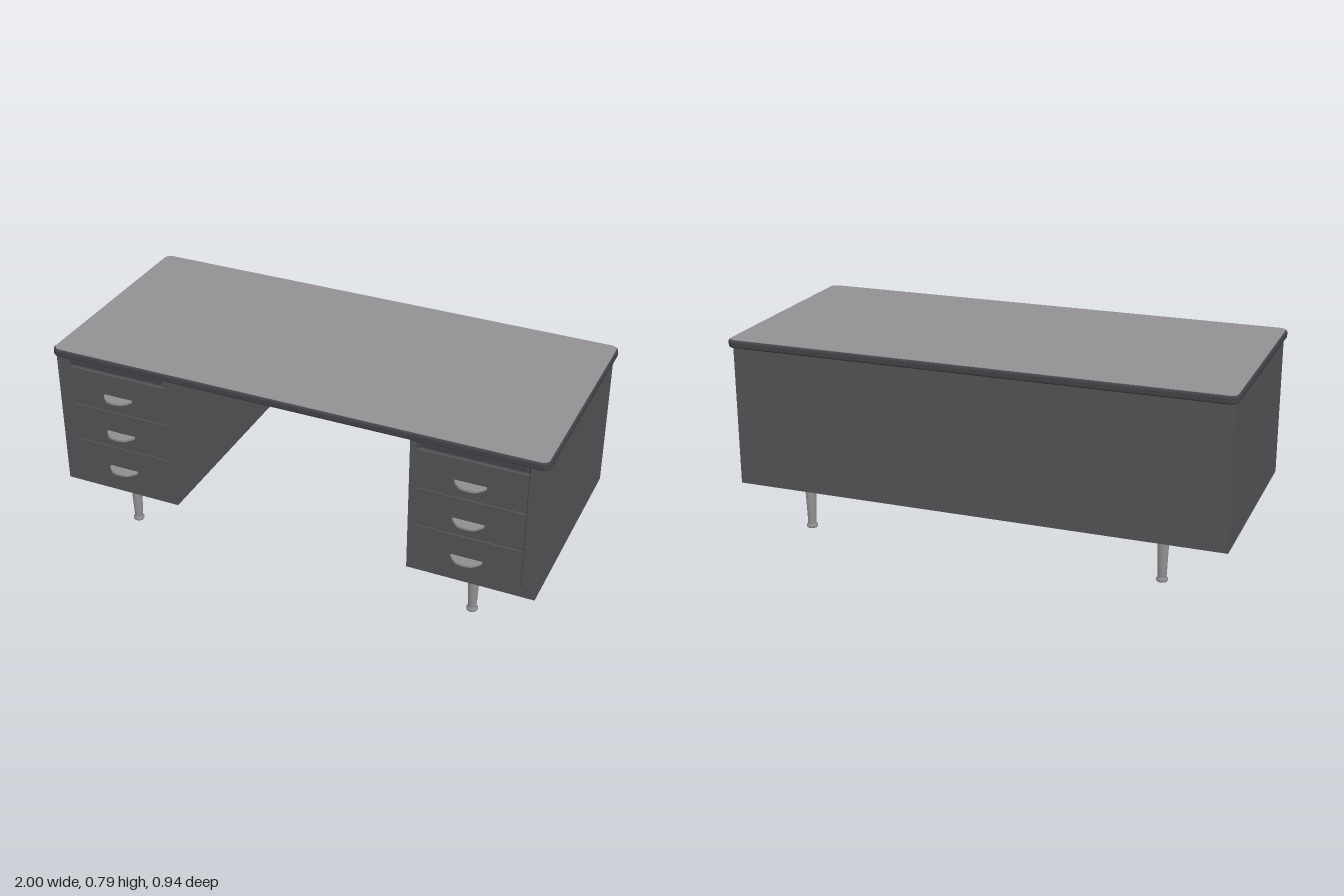
import * as THREE from 'three';

const mat = (name, color) => Object.assign(new THREE.MeshStandardMaterial({ color }), { name });

export function createModel() {
  const bodyPaint = mat('body grey', 0x535256);
  const edgeTrim = mat('dark trim', 0x434246);
  const topGrey = mat('top grey', 0x929093);
  const gapDark = mat('gap shadow', 0x2c2c2e);
  const metal = mat('brushed metal', 0x8e8e8e);
  const desk = new THREE.Group();
  desk.name = 'desk';

  const add = (parent, name, geo, material, x = 0, y = 0, z = 0) => {
    const m = new THREE.Mesh(geo, material);
    m.name = name;
    m.position.set(x, y, z);
    parent.add(m);
    return m;
  };
  // box given by its minimum and maximum corners
  const box = (parent, name, material, x0, x1, y0, y1, z0, z1) =>
    add(parent, name, new THREE.BoxGeometry(x1 - x0, y1 - y0, z1 - z0), material,
      (x0 + x1) / 2, (y0 + y1) / 2, (z0 + z1) / 2);

  // rounded rectangle on the ground plane
  const roundedRect = (w, d, r) => {
    const s = new THREE.Shape(), a = w / 2, b = d / 2;
    s.moveTo(-a + r, -b);
    s.lineTo(a - r, -b).absarc(a - r, -b + r, r, -Math.PI / 2, 0);
    s.lineTo(a, b - r).absarc(a - r, b - r, r, 0, Math.PI / 2);
    s.lineTo(-a + r, b).absarc(-a + r, b - r, r, Math.PI / 2, Math.PI);
    s.lineTo(-a, -b + r).absarc(-a + r, -b + r, r, Math.PI, Math.PI * 1.5);
    return s;
  };
  const slab = (w, d, r, h, bevel) => new THREE.ExtrudeGeometry(roundedRect(w - 2 * bevel, d - 2 * bevel, r), {
    depth: h - 2 * bevel, bevelEnabled: bevel > 0, bevelSize: bevel, bevelThickness: bevel,
    bevelSegments: 4, curveSegments: 6,
  }).translate(0, 0, bevel).rotateX(-Math.PI / 2);

  // worktop with a soft dark edge and a lighter surface
  const topZ = -0.0125;
  add(desk, 'worktopEdge', slab(2, 0.913, 0.025, 0.032, 0.009), edgeTrim, 0, 0.754, topZ);
  add(desk, 'worktopSurface', slab(1.986, 0.899, 0.027, 0.003, 0), topGrey, 0, 0.7845, topZ);

  // back panel across the kneehole
  box(desk, 'backPanel', bodyPaint, -0.486, 0.486, 0.187, 0.756, -0.438, -0.42);

  // front frame around the drawer opening
  const frame = new THREE.Shape();
  frame.moveTo(0.485, 0.187);
  frame.lineTo(0.985, 0.187).lineTo(0.985, 0.756).lineTo(0.485, 0.756).closePath();
  const opening = new THREE.Path();
  opening.moveTo(0.508, 0.226);
  opening.lineTo(0.508, 0.752).lineTo(0.93, 0.752).lineTo(0.93, 0.226).closePath();
  frame.holes.push(opening);
  const frameGeo = new THREE.ExtrudeGeometry(frame, { depth: 0.012, bevelEnabled: false });

  // pull with a bowed front edge
  const pull = new THREE.Shape();
  pull.moveTo(-0.06, 0);
  pull.quadraticCurveTo(-0.055, 0.016, -0.03, 0.036);
  pull.quadraticCurveTo(0, 0.045, 0.03, 0.036);
  pull.quadraticCurveTo(0.055, 0.016, 0.06, 0);
  pull.closePath();
  const pullGeo = new THREE.ExtrudeGeometry(pull, {
    depth: 0.006, bevelEnabled: true, bevelSize: 0.002, bevelThickness: 0.003, bevelSegments: 2, curveSegments: 8,
  }).rotateX(Math.PI / 2);

  // tapered leg with a flared foot
  const legGeo = new THREE.LatheGeometry([
    [0, 0], [0.018, 0], [0.022, 0.004], [0.022, 0.011], [0.018, 0.015],
    [0.0165, 0.02], [0.0225, 0.184], [0, 0.184],
  ].map(([r, y]) => new THREE.Vector2(r, y)), 20);

  for (const side of [1, -1]) {
    const ped = new THREE.Group();
    ped.name = side > 0 ? 'leftPedestal' : 'rightPedestal';
    desk.add(ped);
    const mid = side * 0.735, cx = side * 0.719;
    box(ped, 'cabinet', bodyPaint, mid - 0.25, mid + 0.25, 0.187, 0.756, -0.438, 0.415);
    add(ped, 'frontFrame', frameGeo, bodyPaint, side > 0 ? 0 : -1.47, 0, 0.415);
    if (side < 0) { // mirror the frame about its own centre
      const f = ped.children[ped.children.length - 1];
      f.rotation.y = Math.PI;
      f.position.set(0, 0, 0.427);
    }
    box(ped, 'drawerGap', gapDark, cx - 0.211, cx + 0.211, 0.226, 0.752, 0.414, 0.417);

    // writing slide and its grip lip
    box(ped, 'writingSlide', bodyPaint, cx - 0.205, cx + 0.205, 0.722, 0.748, 0.416, 0.427);
    box(ped, 'slideLip', edgeTrim, cx - 0.2, cx + 0.2, 0.731, 0.748, 0.426, 0.432);

    // three drawers with pulls
    [[0.556, 0.716, 0.622], [0.394, 0.551, 0.458], [0.23, 0.389, 0.295]].forEach(([y0, y1, yh]) => {
      box(ped, 'drawerFront', bodyPaint, cx - 0.207, cx + 0.207, y0, y1, 0.416, 0.431);
      add(ped, 'drawerPull', pullGeo, metal, cx, yh + 0.003, 0.431);
    });

    // legs on square mounting plates
    for (const z of [0.343, -0.35]) {
      box(ped, 'legPlate', bodyPaint, side * 0.725 - 0.045, side * 0.725 + 0.045, 0.182, 0.188, z - 0.045, z + 0.045);
      add(ped, 'leg', legGeo, metal, side * 0.725, 0, z);
    }
  }
  return desk;
}
